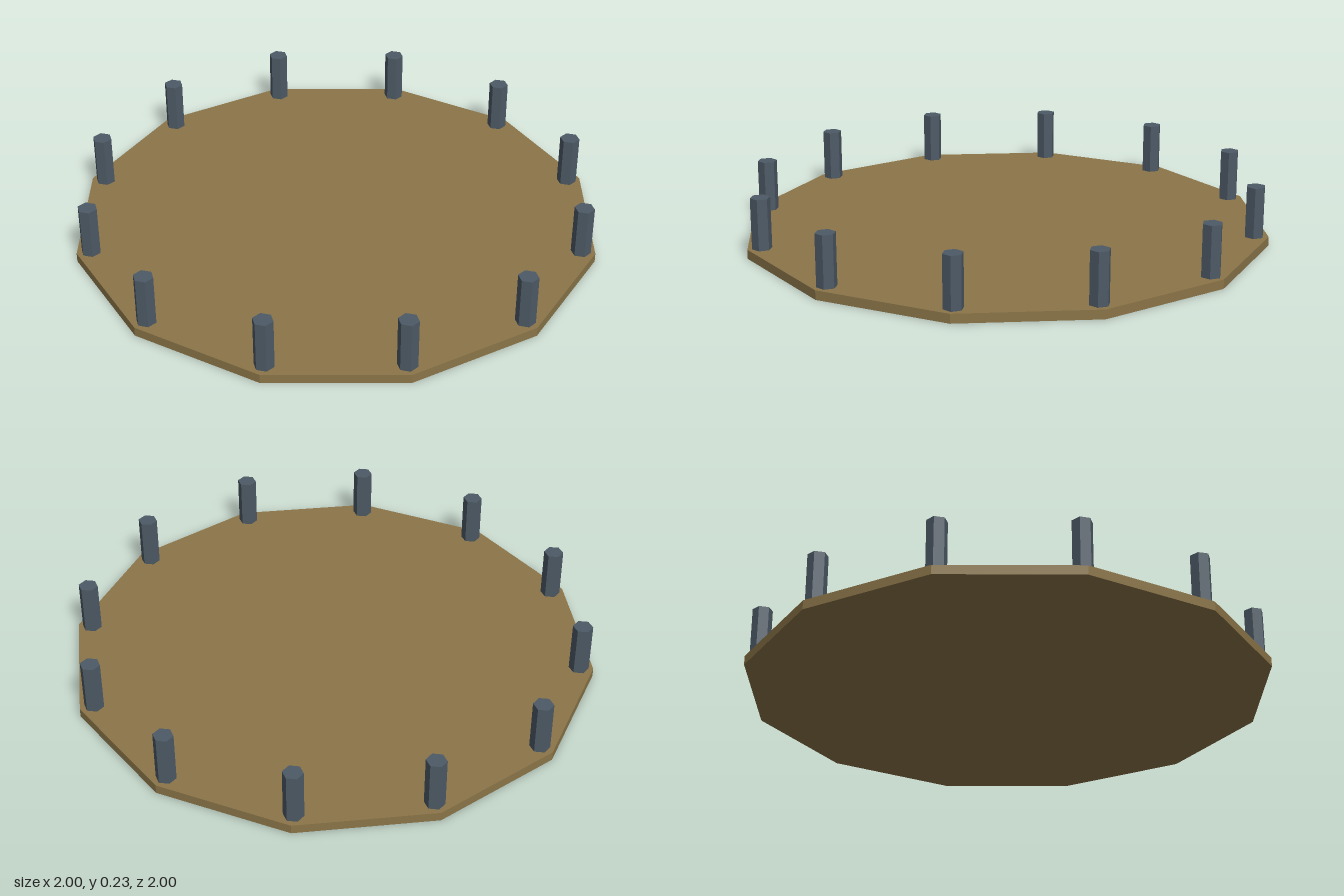
import * as THREE from 'three';

const SIDES = 12;
const DECK_HEIGHT = 0.035;
const POST_HEIGHT = 0.195;
const POST_RING = 0.945;

export function createModel() {
  const group = new THREE.Group();
  group.name = 'postedPlatform';

  const deckMaterial = new THREE.MeshStandardMaterial({ color: 0x8b7548, flatShading: true });
  const postMaterial = new THREE.MeshStandardMaterial({ color: 0x4d5a66, flatShading: true });

  // Twelve-sided deck with corners on the x and z axes
  const deck = new THREE.Mesh(new THREE.CylinderGeometry(1, 1, DECK_HEIGHT, SIDES), deckMaterial);
  deck.name = 'deck';
  deck.position.y = DECK_HEIGHT / 2;
  group.add(deck);

  // One hexagonal post inside each corner, all with corners toward +x and -x
  const postGeometry = new THREE.CylinderGeometry(0.0375, 0.0375, POST_HEIGHT, 6);
  postGeometry.rotateY(Math.PI / 2);
  for (let i = 0; i < SIDES; i++) {
    const angle = (i / SIDES) * Math.PI * 2;
    const post = new THREE.Mesh(postGeometry, postMaterial);
    post.name = `post${i + 1}`;
    post.position.set(
      Math.sin(angle) * POST_RING,
      DECK_HEIGHT + POST_HEIGHT / 2,
      Math.cos(angle) * POST_RING
    );
    group.add(post);
  }

  return group;
}
